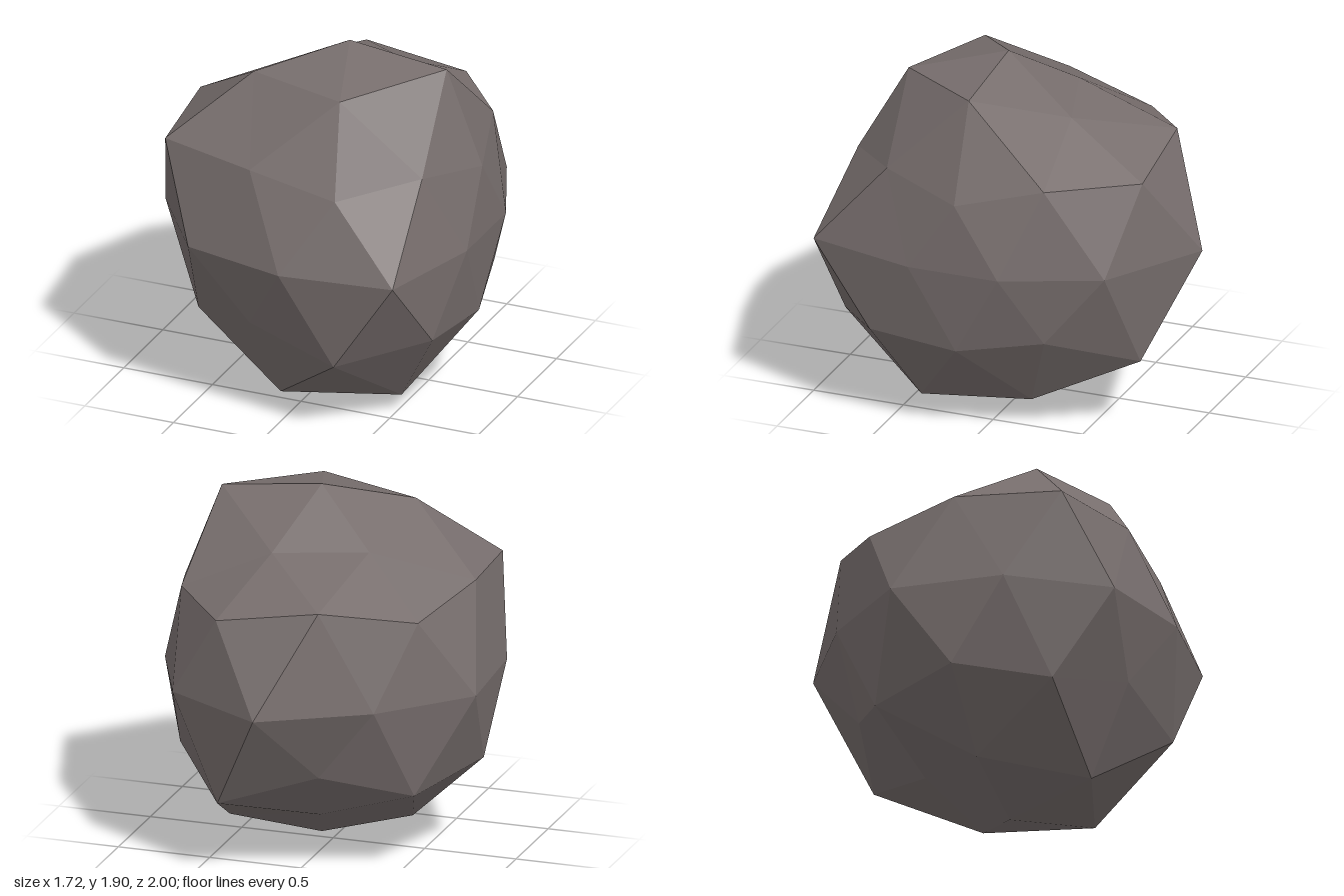
import * as THREE from 'three';

const CENTRE = new THREE.Vector3(0.09, 0.95, 0.08);

// Ring of points about the centre: sine of elevation, first angle, distance of each point
function ring(sinElevation, startDeg, radii) {
  const h = Math.sqrt(1 - sinElevation ** 2);
  return radii.map((r, i) => {
    const a = THREE.MathUtils.degToRad(startDeg + (i * 360) / radii.length);
    return new THREE.Vector3(h * Math.cos(a), sinElevation, h * Math.sin(a))
      .multiplyScalar(r).add(CENTRE);
  });
}

// A once-subdivided icosahedron whose points are pushed in and out
function boulderGeometry() {
  const [top] = ring(1, 0, [0.95]);
  const upperCap = ring(0.851, 0, [1.04, 0.985, 0.966, 0.82, 0.81]);
  const upper = ring(0.447, 0, [0.835, 0.87, 1.09, 0.975, 1.01]);
  const upperMid = ring(0.526, 36, [0.87, 0.915, 0.99, 1.026, 0.89]);
  const equator = ring(0, 18, [0.81, 1.037, 0.92, 0.967, 0.956, 1.0, 0.93, 1.08, 0.938, 0.81]);
  const lowerMid = ring(-0.526, 0, [0.857, 0.993, 0.94, 0.985, 1.047]);
  const lower = ring(-0.447, 36, [0.945, 0.87, 0.99, 0.87, 0.853]);
  const lowerCap = ring(-0.851, 36, [1.01, 1.02, 0.947, 0.83, 0.945]);
  const [bottom] = ring(-1, 0, [0.95]);

  const points = [];
  // One large triangle a-b-c split in four at its edge points
  const split = (a, b, c, ab, bc, ca) =>
    points.push(a, ab, ca, ab, b, bc, ca, bc, c, ab, bc, ca);

  for (let k = 0; k < 5; k++) {
    const n = (k + 1) % 5;
    const e0 = equator[2 * k], e1 = equator[2 * k + 1], e2 = equator[(2 * k + 2) % 10];
    split(top, upper[n], upper[k], upperCap[n], upperMid[k], upperCap[k]);
    split(upper[k], upper[n], lower[k], upperMid[k], e1, e0);
    split(lower[k], upper[n], lower[n], e1, e2, lowerMid[n]);
    split(bottom, lower[k], lower[n], lowerCap[k], lowerMid[n], lowerCap[n]);
  }
  const geometry = new THREE.BufferGeometry().setFromPoints(points);
  geometry.computeVertexNormals();
  return geometry;
}

export function createModel() {
  const group = new THREE.Group();
  group.name = 'rock';
  const stone = new THREE.MeshStandardMaterial({ color: 0x776e6d, flatShading: true });
  const boulder = new THREE.Mesh(boulderGeometry(), stone);
  boulder.name = 'boulder';
  group.add(boulder);
  return group;
}
